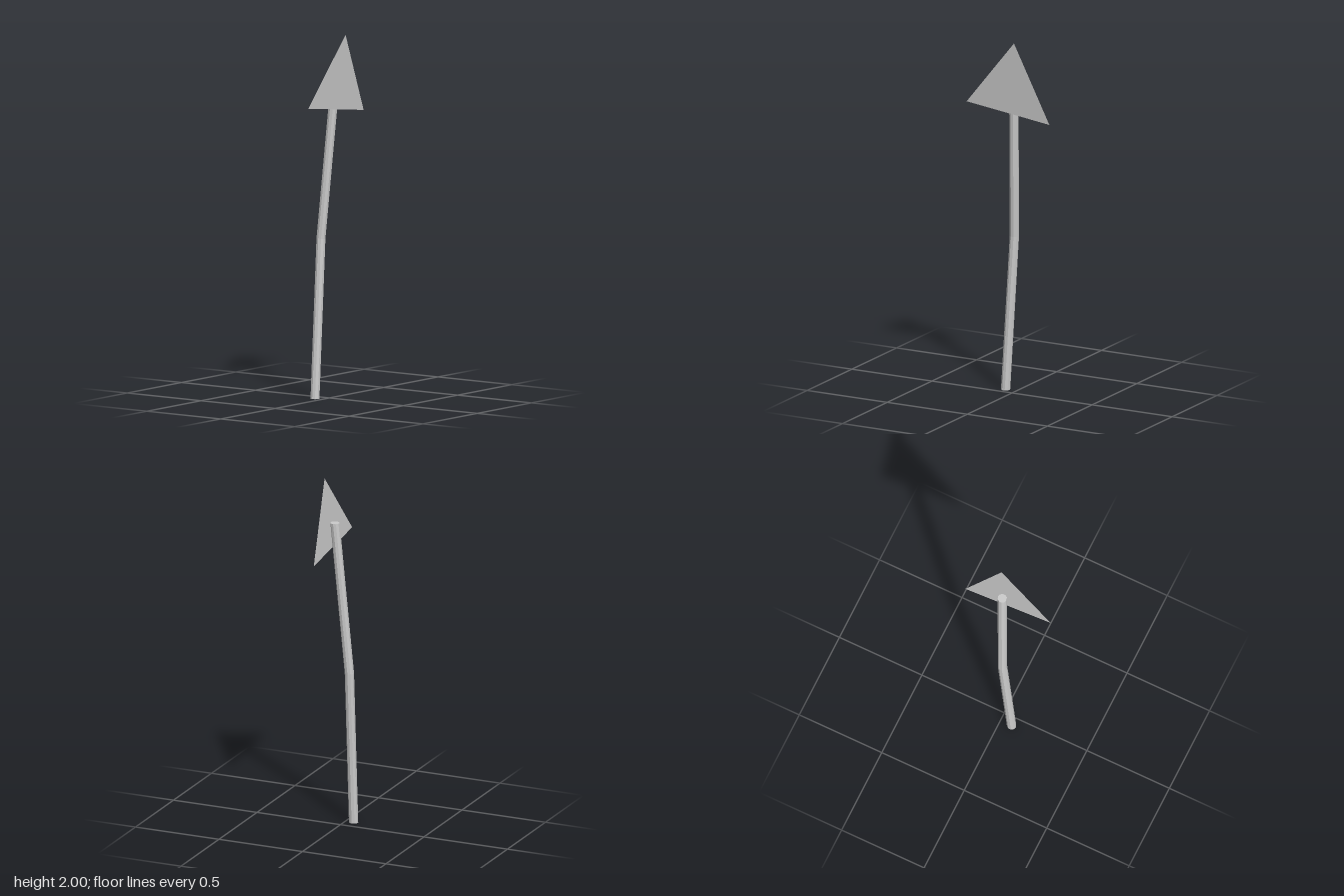
import * as THREE from 'three';

export function createModel() {
  const group = new THREE.Group();

  // Bent ten-sided pole: each level ring of a cylinder is shifted to its centre
  const centres = [[-0.067, 0, -0.048], [-0.012, 0.875, -0.048], [0.0235, 1.742, 0.022]];
  const poleGeometry = new THREE.CylinderGeometry(0.0257, 0.0257, 2, 10, 2, false, Math.PI / 2);
  const p = poleGeometry.attributes.position;
  for (let i = 0; i < p.count; i++) {
    const [x, y, z] = centres[Math.round(p.getY(i)) + 1];
    p.setXYZ(i, p.getX(i) + x, y, p.getZ(i) + z);
  }
  poleGeometry.computeVertexNormals();
  const pole = new THREE.Mesh(poleGeometry,
    new THREE.MeshStandardMaterial({ color: 0xcccccc, flatShading: true }));
  pole.name = 'bentPole';
  group.add(pole);

  // Thin triangular sign plate, leaning slightly forward at the top
  const plateGeometry = new THREE.BufferGeometry().setFromPoints([
    new THREE.Vector3(-0.257, 1.626, 0.047),
    new THREE.Vector3(0.257, 1.56, 0.043),
    new THREE.Vector3(0.052, 2, 0.0715),
  ]);
  plateGeometry.setIndex([0, 1, 2]);
  plateGeometry.computeVertexNormals();
  const plate = new THREE.Mesh(plateGeometry,
    new THREE.MeshStandardMaterial({ color: 0xcccccc, flatShading: true, side: THREE.DoubleSide }));
  plate.name = 'signPlate';
  group.add(plate);

  return group;
}
